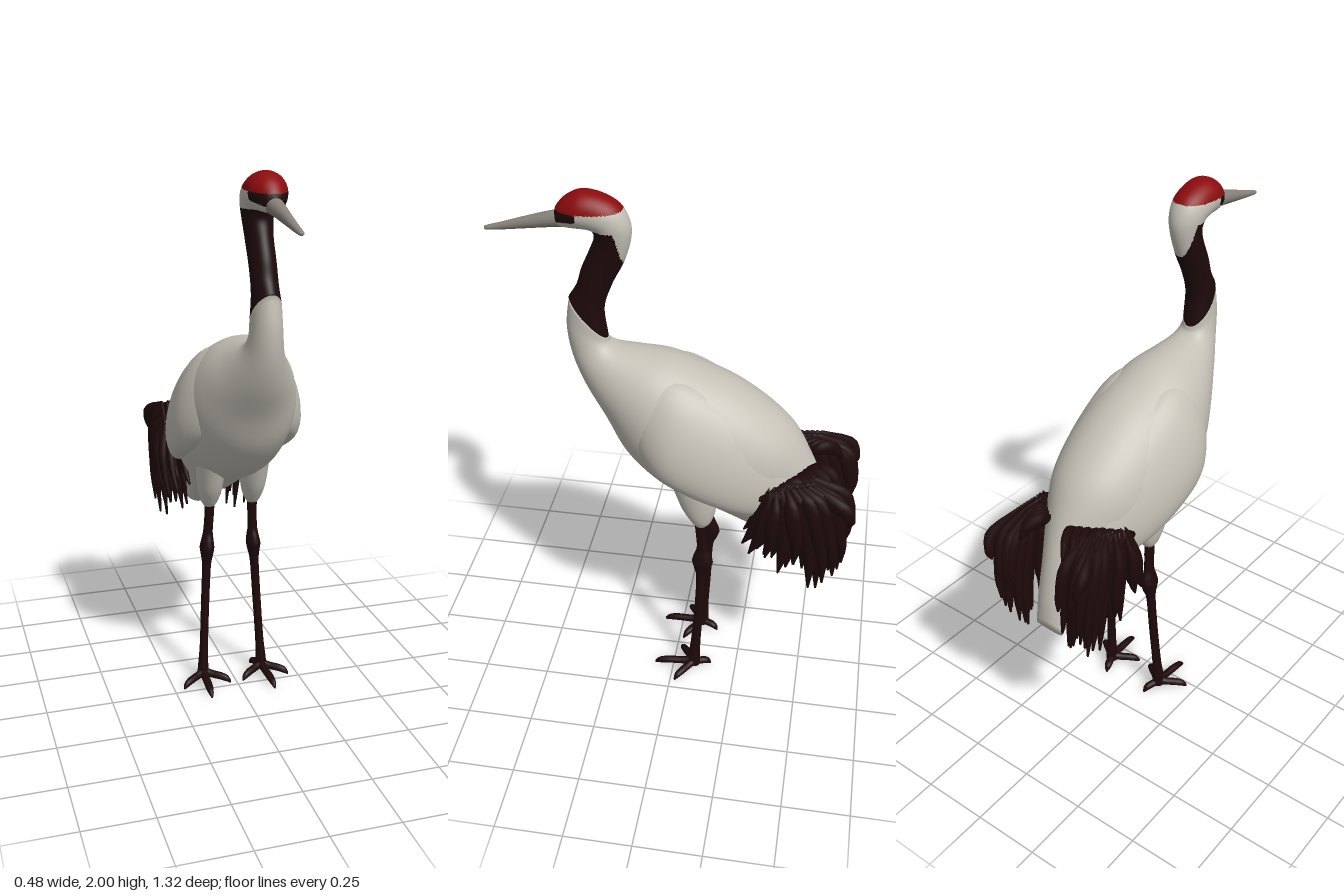
import * as THREE from 'three';

const paint = (name, color) => {
  const m = new THREE.MeshStandardMaterial({ color });
  m.name = name;
  return m;
};

// Smooth skin through oval sections. Each section is
// [zA, yA, zB, yB, halfWidth, xA, xB]: two opposite points plus a half width.
function loft(sections, rings, sides) {
  const curve = f => new THREE.CatmullRomCurve3(
    sections.map(s => new THREE.Vector3(...f(s))), false, 'catmullrom', 0.5);
  const a = curve(s => [s[5] ?? 0, s[1], s[0]]);
  const b = curve(s => [s[6] ?? s[5] ?? 0, s[3], s[2]]);
  const w = curve(s => [s[4], 0, 0]);
  const pos = [], idx = [];
  for (let i = 0; i <= rings; i++) {
    const p = a.getPoint(i / rings), q = b.getPoint(i / rings), half = w.getPoint(i / rings).x;
    const c = p.clone().add(q).multiplyScalar(0.5), axis = p.clone().sub(c);
    for (let j = 0; j < sides; j++) {
      const t = j / sides * Math.PI * 2, k = Math.cos(t);
      pos.push(c.x + axis.x * k + half * Math.sin(t), c.y + axis.y * k, c.z + axis.z * k);
    }
  }
  for (let i = 0; i < rings; i++) for (let j = 0; j < sides; j++) {
    const k = (j + 1) % sides, m = i * sides, n = m + sides;
    idx.push(m + j, n + j, m + k, m + k, n + j, n + k);
  }
  // End caps
  for (const [ring, s] of [[0, 0], [rings, 1]]) {
    const c = pos.length / 3, m = ring * sides;
    const mid = a.getPoint(s).add(b.getPoint(s)).multiplyScalar(0.5);
    pos.push(mid.x, mid.y, mid.z);
    for (let j = 0; j < sides; j++) {
      const k = (j + 1) % sides;
      if (s) idx.push(c, m + k, m + j); else idx.push(c, m + j, m + k);
    }
  }
  // Turn the faces outward
  const v = i => new THREE.Vector3(pos[i * 3], pos[i * 3 + 1], pos[i * 3 + 2]);
  let volume = 0;
  for (let i = 0; i < idx.length; i += 3) volume += v(idx[i]).dot(v(idx[i + 1]).cross(v(idx[i + 2])));
  if (volume < 0) idx.reverse();
  const g = new THREE.BufferGeometry();
  g.setAttribute('position', new THREE.Float32BufferAttribute(pos, 3));
  g.setIndex(idx);
  g.computeVertexNormals();
  return g;
}

// Sort faces into material groups by the position of their centre
function paintByRule(g, count, rule) {
  const p = g.attributes.position, old = g.index.array;
  const lists = Array.from({ length: count }, () => []);
  for (let i = 0; i < old.length; i += 3) {
    const f = [old[i], old[i + 1], old[i + 2]];
    const mean = get => f.reduce((sum, n) => sum + get(n) / 3, 0);
    lists[rule(mean(n => p.getY(n)), mean(n => p.getZ(n)))].push(...f);
  }
  g.setIndex(lists.flat());
  let start = 0;
  lists.forEach((l, i) => { g.addGroup(start, l.length, i); start += l.length; });
  return g;
}

export function createModel() {
  const model = new THREE.Group();
  model.name = 'crane';
  const white = paint('whitePlumage', 0xc4c0b6);
  const dark = paint('darkPlumage', 0x1e090a);
  const red = paint('redCrown', 0x8c0b0d);
  const horn = paint('beakHorn', 0x88827a);
  const add = (name, g, material, parent = model) => {
    const m = new THREE.Mesh(g, material);
    m.name = name;
    parent.add(m);
    return m;
  };

  // Body from the base of the neck to the drooping tail
  add('body', loft([
    [.245, 1.46, .377, 1.61, .052], [.235, 1.44, .39, 1.50, .056], [.20, 1.428, .375, 1.39, .07],
    [.12, 1.42, .333, 1.28, .108], [.02, 1.405, .26, 1.157, .16], [-.075, 1.37, .19, 1.025, .196],
    [-.20, 1.318, .095, .92, .21], [-.32, 1.24, 0, .86, .21], [-.42, 1.15, -.13, .80, .185],
    [-.485, 1.04, -.28, .715, .135], [-.545, .90, -.40, .66, .088], [-.585, .75, -.49, .61, .068],
    [-.60, .64, -.555, .57, .055]], 72, 40), white);

  // Neck and head: white nape stripe, dark throat and lores, red crown
  const headRule = (y, z) => {
    if (y > 1.943 - .04 * (z - .15)) return 2;
    if (z > .325 && y > 1.893 + (.40 - z) * .2) return 1;
    if (y < 1.75) return 1;
    return y < 1.873 && z > .19 + (y - 1.8) * .2 ? 1 : 0;
  };
  add('neckAndHead', paintByRule(loft([
    [.245, 1.455, .377, 1.61, .052], [.255, 1.57, .347, 1.66, .046], [.225, 1.665, .328, 1.72, .045],
    [.18, 1.755, .297, 1.79, .046], [.155, 1.84, .28, 1.835, .052], [.158, 1.90, .285, 1.862, .06],
    [.19, 1.955, .30, 1.868, .066], [.25, 1.988, .32, 1.868, .068], [.315, 1.998, .345, 1.868, .066],
    [.365, 1.978, .37, 1.868, .052], [.398, 1.945, .395, 1.87, .034], [.408, 1.92, .40, 1.885, .016]],
  132, 64), 3, headRule), [white, dark, red]);

  add('beak', loft([
    [.36, 1.928, .36, 1.868, .034], [.42, 1.918, .42, 1.862, .027], [.50, 1.895, .50, 1.851, .019],
    [.59, 1.866, .59, 1.839, .013], [.64, 1.851, .64, 1.834, .01], [.652, 1.846, .652, 1.836, .006]],
  24, 16), horn);

  for (const [side, s] of [['left', 1], ['right', -1]]) {
    // Folded wing, leaning in so its upper edge sinks into the back
    add(side + 'Wing', loft([
      [.145, 1.27, .14, 1.17, .02, .10, .12], [.085, 1.345, .105, 1.07, .062, .095, .15],
      [-.02, 1.36, .03, 1.0, .09, .09, .18], [-.15, 1.30, -.07, .945, .092, .09, .185],
      [-.27, 1.22, -.18, .895, .082, .09, .175], [-.37, 1.12, -.27, .865, .06, .09, .16],
      [-.43, 1.03, -.34, .86, .04, .09, .14], [-.46, .96, -.41, .88, .02, .09, .12]]
      .map(r => [...r.slice(0, 5), r[5] * s, r[6] * s]), 40, 32), white);

    // Hanging plumes, fanned from straight down to far back in four layers
    const plumes = new THREE.Group();
    plumes.name = side + 'Plumes';
    model.add(plumes);
    const tips = new THREE.CatmullRomCurve3([[-.265, .71], [-.36, .63], [-.45, .60], [-.55, .53], [-.61, .60], [-.645, .79]]
      .map(([z, y]) => new THREE.Vector3(0, y, z)));
    for (let layer = 0; layer < 4; layer++) for (let i = 0; i < 9; i++) {
      const t = Math.min(1, (i + (layer % 2) * .5) / 8.5);
      const vary = Math.sin(i * 2.7 + layer * 1.9);
      const tip = tips.getPoint(t), x = (.128 + layer * .028 - .025 * t) * s;
      const rootX = x - .007 * layer * s;
      const rootZ = -.345 - .16 * t, rootY = .985 + .03 * t;
      const midZ = -.325 - .285 * t, midY = .89 + .075 * t;
      const tipY = tip.y + .045 * (1 + vary);
      const lowZ = midZ * .4 + tip.z * .6 - .012, lowY = midY * .4 + tipY * .6;
      const dx = .012 * vary * s, sway = .026;
      add('plume', loft([
        [rootZ - .010, rootY + .016, rootZ + .010, rootY - .012, .006, rootX],
        [midZ - sway, midY + .02, midZ + sway, midY - .02, .017, x + .004 * s + dx],
        [lowZ - .022, lowY, lowZ + .022, lowY, .013, x + dx],
        [tip.z - .004, tipY, tip.z + .004, tipY, .004, x - .01 * s + dx]], 10, 8), dark, plumes);
    }
    // Short curled plumes over the top, stepping inward toward the tail
    for (let i = 0; i < 8; i++) {
      const z = -.34 - i * .022, x = (.185 - i * .0185) * s, y = .955 + .008 * i;
      const out = (i > 3 ? .028 : -.005) * s;
      add('topPlume', loft([
        [z + .02, y + .01, z + .02, y - .01, .005, x],
        [z - .03, y + .045, z - .02, y - .02, .017, x + out * .3],
        [z - .085, y + .025, z - .065, y - .03, .014, x + out],
        [z - .11, y - .04, z - .10, y - .05, .003, x + out * 1.5]], 10, 8), dark, plumes);
    }

    // Feathered thigh: level sections given as height, centre z, depth, width
    const level = (rows, x) => rows.map(([y, z, d, w, dx = 0]) => [z - d, y, z + d, y, w, (x + dx) * s]);
    add(side + 'Thigh', loft(level([
      [1.0, -.06, .10, .055], [.88, -.08, .08, .053], [.80, -.092, .062, .046],
      [.75, -.10, .04, .034], [.725, -.10, .022, .02]], .085), 20, 20), white);

    // Leg with a swollen joint
    add(side + 'Leg', loft(level([
      [.78, -.095, .022, .02], [.70, -.10, .021, .018], [.62, -.107, .021, .018, .004],
      [.58, -.109, .034, .023, .006], [.55, -.109, .040, .027, .008], [.52, -.108, .032, .023, .009],
      [.47, -.105, .019, .017, .012], [.32, -.10, .018, .016, .02], [.15, -.09, .019, .016, .029],
      [.06, -.085, .024, .02, .034], [.02, -.085, .024, .024, .034]], .085), 56, 16), dark);

    // Foot with three front toes and one back toe
    const foot = new THREE.Group();
    foot.name = side + 'Foot';
    foot.position.set(.119 * s, 0, -.085);
    model.add(foot);
    for (const [angle, length] of [[.05, .16], [.95, .115], [-.95, .115], [Math.PI + .35, .07]]) {
      const toe = add('toe', loft([
        [-.01, .055, -.01, .012, .017], [length * .3, .042, length * .3, .012, .015],
        [length * .65, .038, length * .65, .01, .015], [length * .88, .03, length * .88, .005, .011],
        [length, .013, length, .001, .004]], 14, 10), dark, foot);
      toe.rotation.y = angle * s;
    }
  }
  return model;
}
